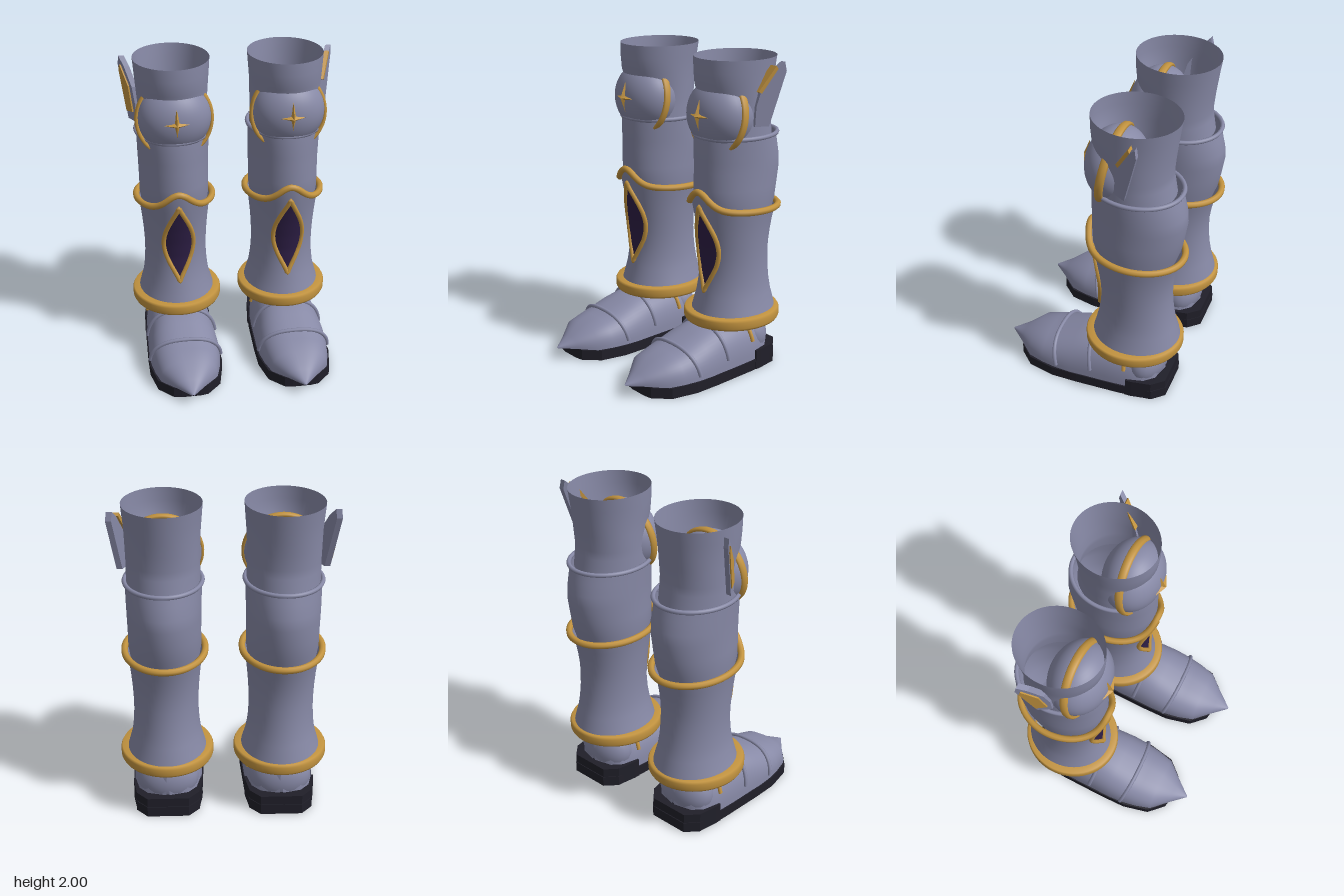
import * as THREE from 'three';

const make = (color) => new THREE.MeshStandardMaterial({ color, side: THREE.DoubleSide });
const steel = make(0x8789a6); steel.name = 'blueGreySteel';
const gold = make(0xc2933f); gold.name = 'gold';
const black = make(0x201f29); black.name = 'blackSole';
const purple = make(0x2d1e45); purple.name = 'darkPurple';

// Rows: [y, half width, front z, back z]
const greaveRows = [[0.33, 0.262, 0.01, -0.575], [0.4, 0.243, -0.01, -0.562], [0.5, 0.215, -0.035, -0.535],
  [0.6, 0.203, -0.052, -0.517], [0.7, 0.2, -0.058, -0.508], [0.8, 0.204, -0.05, -0.507], [0.9, 0.212, -0.035, -0.52],
  [1.0, 0.223, -0.015, -0.54], [1.08, 0.236, 0.006, -0.565], [1.2, 0.245, 0.022, -0.58]];
const calfRows = [[0.95, 0.2, -0.05, -0.5], [1.1, 0.222, -0.005, -0.552], [1.2, 0.222, 0, -0.57], [1.31, 0.224, 0, -0.586],
  [1.38, 0.226, 0, -0.58], [1.46, 0.228, 0, -0.56], [1.53, 0.23, -0.005, -0.54]];
const thighRows = [[1.5, 0.222, -0.02, -0.51], [1.6, 0.22, -0.04, -0.492], [1.65, 0.22, -0.045, -0.488], [1.75, 0.222, -0.04, -0.497],
  [1.83, 0.225, -0.008, -0.507], [1.92, 0.232, 0, -0.518], [2, 0.238, 0, -0.53]];
const ankleRows = [[0.32, 0.24, 0, -0.54], [0.32, 0.285, 0.033, -0.577], [0.335, 0.293, 0.041, -0.586],
  [0.375, 0.293, 0.041, -0.586], [0.39, 0.285, 0.033, -0.577], [0.39, 0.23, -0.01, -0.55]];
// Foot rows: [z, half width, height, base y]
const footRows = [[0.6, 0.004, 0.008, 0.078], [0.5, 0.09, 0.06, 0.074], [0.4, 0.182, 0.14, 0.066], [0.3, 0.21, 0.17, 0.062],
  [0.2, 0.226, 0.2, 0.06], [0.1, 0.23, 0.237, 0.06], [0, 0.225, 0.265, 0.06], [-0.15, 0.22, 0.28, 0.06],
  [-0.3, 0.21, 0.275, 0.06], [-0.4, 0.185, 0.27, 0.06], [-0.46, 0.13, 0.25, 0.06], [-0.49, 0.01, 0.22, 0.06]];

// Linear lookup in a table sorted by its first column
function rowAt(rows, key) {
  const dir = Math.sign(rows[rows.length - 1][0] - rows[0][0]);
  let i = 0;
  while (i < rows.length - 2 && (key - rows[i + 1][0]) * dir > 0) i++;
  const a = rows[i], b = rows[i + 1];
  const t = THREE.MathUtils.clamp((key - a[0]) / (b[0] - a[0]), 0, 1);
  return a.map((v, k) => v + (b[k] - v) * t);
}

// Smooth surface from a grid of points; wrap joins the last column to the first
function grid(cols, rows, point, wrap = false) {
  const pos = [], index = [], n = wrap ? cols : cols + 1;
  for (let j = 0; j <= rows; j++) for (let i = 0; i < n; i++) pos.push(...point(i / cols, j));
  for (let j = 0; j < rows; j++) for (let i = 0; i < cols; i++) {
    const a = j * n + i, b = j * n + (i + 1) % n;
    index.push(a, b, a + n, b, b + n, a + n);
  }
  const g = new THREE.BufferGeometry();
  g.setAttribute('position', new THREE.Float32BufferAttribute(pos, 3));
  g.setIndex(index);
  g.computeVertexNormals();
  return g;
}

function ringPoint([y, rx, front, back], angle) {
  return [rx * Math.sin(angle), y, (front + back) / 2 + (front - back) / 2 * Math.cos(angle)];
}
const loft = (rows) => grid(56, rows.length - 1, (u, j) => ringPoint(rows[j], u * Math.PI * 2), true);

function add(parent, name, geometry, material) {
  const mesh = new THREE.Mesh(geometry, material);
  mesh.name = name;
  parent.add(mesh);
  return mesh;
}

function tube(points, radius, closed = false, segments = 72) {
  const curve = new THREE.CatmullRomCurve3(points.map((p) => new THREE.Vector3(...p)), closed);
  return new THREE.TubeGeometry(curve, segments, radius, 8, closed);
}

// Height of the wavy greave edge around the leg
function trimHeight(angle) {
  const x = 0.26 * Math.sin(angle), c = Math.cos(angle);
  return 1.068 + 0.015 * c + (c > 0 ? 0.105 * Math.exp(-((x / 0.11) ** 2)) : 0);
}

function footPoint(z, a, off = 0) {
  const [, w, h, base] = rowAt(footRows, z);
  const c = Math.cos(a), s = Math.max(0, Math.sin(a));
  return [(w + off) * Math.sign(c) * Math.abs(c) ** 0.8, base + (h + off) * s ** 0.8, z];
}

// Strap over the foot, leaning from zSide at the ends to zTop on the instep
function strap(zSide, zTop, start) {
  const pts = [];
  for (let i = 0; i <= 20; i++) {
    const a = start + (Math.PI - 2 * start) * i / 20;
    pts.push(footPoint(zSide + (zTop - zSide) * Math.sin(a), a, 0.006));
  }
  return tube(pts, 0.013, false, 48);
}

// Flat sole outline, extruded upwards
function solePlate(half, height) {
  const shape = new THREE.Shape([...half, ...half.slice().reverse().map(([x, z]) => [-x, z])]
    .map(([x, z]) => new THREE.Vector2(x, -z)));
  return new THREE.ExtrudeGeometry(shape, { depth: height, bevelEnabled: false }).rotateX(-Math.PI / 2);
}

function shinPoint(x, y, off) {
  const [, rx, f, b] = rowAt(greaveRows, y);
  return [x, y, (f + b) / 2 + (f - b) / 2 * Math.sqrt(1 - (x / rx) ** 2) + off];
}
const almond = (t) => 0.095 * Math.sin(Math.PI * t) ** 1.15;

function starGeometry() {
  const pos = [], rim = [];
  for (let i = 0; i < 8; i++) {
    const r = i % 2 ? 0.022 : i % 4 ? 0.1 : 0.078, a = i * Math.PI / 4;
    rim.push([r * Math.cos(a), r * Math.sin(a), i % 2 ? 0.03 : i % 4 ? 0.02 : 0.026]);
  }
  rim.forEach((p, i) => pos.push(0, 0, 0.06, ...p, ...rim[(i + 1) % 8]));
  const g = new THREE.BufferGeometry();
  g.setAttribute('position', new THREE.Float32BufferAttribute(pos, 3));
  g.computeVertexNormals();
  return g;
}

// Upright plate on the outer side of the knee; outline points are [-z, y]
function finPlate(outline, side, from, depth) {
  const shape = new THREE.Shape(outline.map((p) => new THREE.Vector2(...p)));
  const g = new THREE.ExtrudeGeometry(shape, { depth, bevelEnabled: false });
  const p = g.attributes.position;
  for (let i = 0; i < p.count; i++) {
    const q = p.getX(i), d = p.getZ(i);
    p.setXYZ(i, side * (0.185 + 0.55 * (q - 0.2) + from + d), p.getY(i), -q);
  }
  g.computeVertexNormals();
  return g;
}

function buildBoot(side) {
  const boot = new THREE.Group();
  boot.name = side > 0 ? 'leftBoot' : 'rightBoot';
  boot.position.x = side * 0.358;

  // Sole and foot
  add(boot, 'sole', solePlate([[0.13, -0.535], [0.2, -0.46], [0.222, -0.25], [0.235, 0.05], [0.236, 0.22],
    [0.2, 0.39], [0.11, 0.485], [0.06, 0.495]], 0.068), black);
  add(boot, 'heelCup', solePlate([[0.13, -0.53], [0.198, -0.455], [0.22, -0.33], [0.222, -0.29]], 0.128), black);
  add(boot, 'foot', grid(28, footRows.length - 1, (u, j) => footPoint(footRows[j][0], u * Math.PI)), steel);
  const heel = add(boot, 'heelCounter', new THREE.SphereGeometry(1, 28, 18), steel);
  heel.scale.set(0.195, 0.17, 0.135);
  heel.position.set(0, 0.19, -0.358);
  add(boot, 'toeStrap', strap(0.185, 0.232, 0.12), steel);
  add(boot, 'instepStrap', strap(-0.055, -0.015, 0.2), steel);
  add(boot, 'ankleStrap', strap(-0.28, -0.26, 0.4), gold);

  // Leg shells
  const last = greaveRows.length - 1;
  add(boot, 'greave', grid(64, last, (u, j) => {
    const a = u * Math.PI * 2;
    const y = 0.33 + (trimHeight(a) - 0.33) * j / last;
    return ringPoint(rowAt(greaveRows, y), a);
  }, true), steel);
  add(boot, 'calf', loft(calfRows), steel);
  add(boot, 'thighCuff', loft(thighRows), steel);
  add(boot, 'ankleBand', loft(ankleRows), gold);

  // Trims around the leg
  const trim = [], kneeRing = [];
  for (let i = 0; i < 40; i++) {
    const a = i / 40 * Math.PI * 2;
    trim.push(ringPoint([trimHeight(a), 0.246, 0.02, -0.575], a));
    kneeRing.push(ringPoint([1.525, 0.232, -0.005, -0.553], a));
  }
  add(boot, 'greaveTrim', tube(trim, 0.021, true, 100), gold);
  add(boot, 'kneeRing', tube(kneeRing, 0.014, true, 80), steel);

  // Shin gem with its frame
  add(boot, 'shinGem', grid(8, 24, (u, j) => {
    const t = j / 24;
    return shinPoint((u * 2 - 1) * almond(t), 0.535 + 0.56 * t, 0.008);
  }), purple);
  const frame = [];
  for (let i = 0; i < 48; i++) {
    const t = i < 24 ? i / 24 : 2 - i / 24;
    frame.push(shinPoint((i < 24 ? 1 : -1) * almond(t), 0.535 + 0.56 * t, 0.008));
  }
  add(boot, 'gemFrame', tube(frame, 0.015, true, 120), gold);

  // Knee guard
  const knee = add(boot, 'kneeCap', new THREE.SphereGeometry(1, 40, 28), steel);
  knee.scale.set(0.232, 0.225, 0.185);
  knee.position.set(0, 1.65, -0.15);
  const arch = [];
  for (let i = 0; i <= 24; i++) {
    const a = -0.85 + (Math.PI + 1.7) * i / 24;
    arch.push([0.233 * Math.cos(a), 1.645 + 0.235 * Math.sin(a), -0.133 - 0.02 * Math.sin(a)]);
  }
  const band = add(boot, 'kneeArch', tube(arch, 0.014, false, 72), gold);
  band.scale.z = 1.9;
  band.position.z = 0.12;
  add(boot, 'kneeStar', starGeometry(), gold).position.y = 1.662;

  // Side fin with gold inlay
  add(boot, 'sideFin', finPlate([[0.22, 1.6], [0.295, 1.6], [0.335, 1.75], [0.382, 1.93], [0.372, 1.985], [0.32, 1.93],
    [0.25, 1.82], [0.225, 1.72]], side, 0, 0.034), steel);
  if (side > 0) {
    add(boot, 'finTrim', finPlate([[0.232, 1.81], [0.25, 1.8], [0.335, 1.945], [0.325, 1.962]], side, -0.012, 0.05), gold);
  } else {
    add(boot, 'finTrim', finPlate([[0.24, 1.66], [0.298, 1.65], [0.362, 1.9], [0.352, 1.935], [0.275, 1.82]],
      side, 0.034, 0.009), gold);
  }
  return boot;
}

export function createModel() {
  const model = new THREE.Group();
  model.name = 'armouredBoots';
  for (const side of [1, -1]) model.add(buildBoot(side));
  return model;
}
